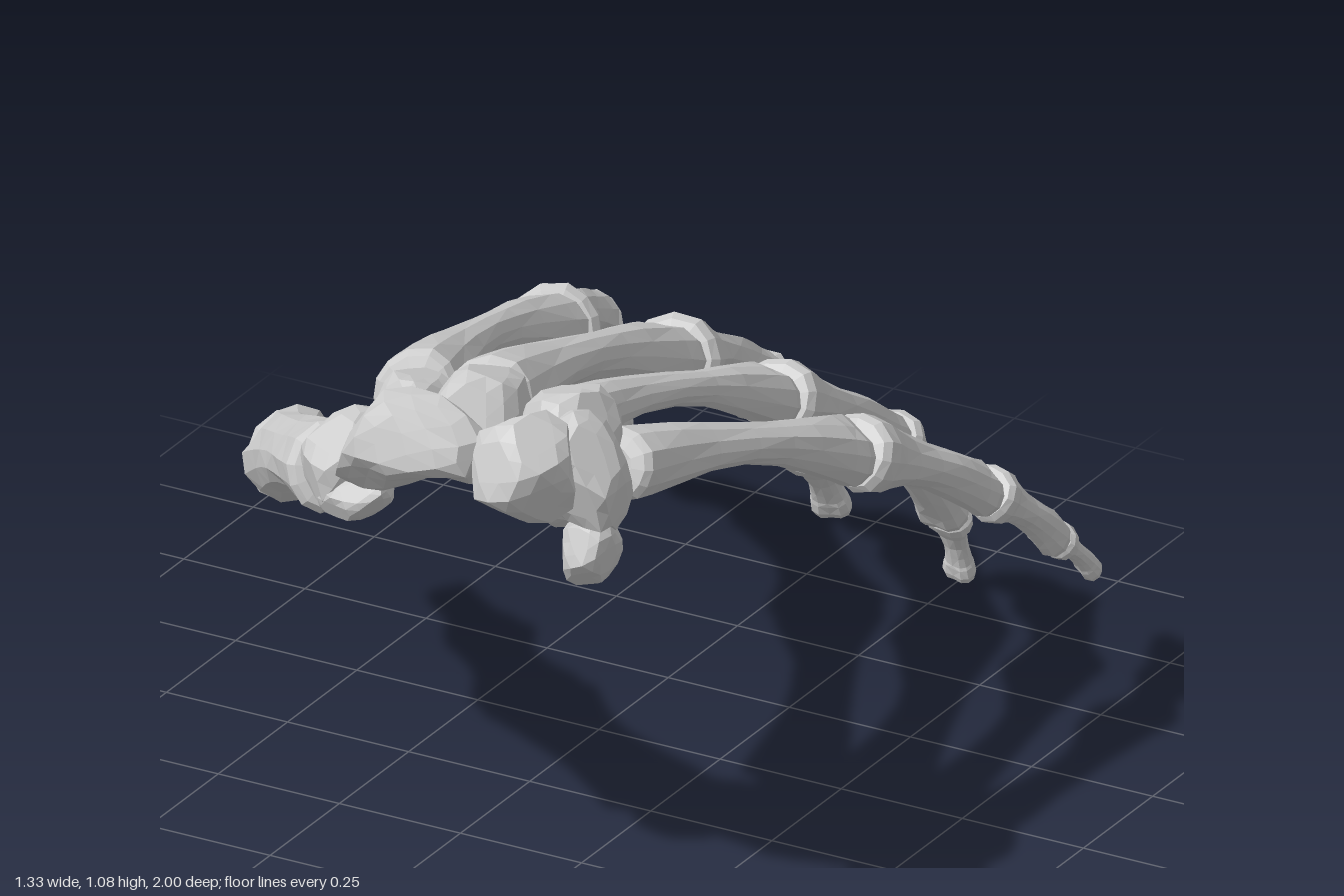
import * as THREE from 'three';

const SIDES = 12;
const V = (a) => new THREE.Vector3(...a);
const material = new THREE.MeshStandardMaterial({ color: 0xcccccc, flatShading: true });

// Long bone: lofted rings along a slightly bowed line, flared at the base and knuckled at the head.
function longBone(name, from, to, up, [base, shaft, head], { flat, bow, reach }) {
  const a = V(from), b = V(to), d = b.clone().sub(a).normalize();
  b.addScaledVector(d, reach);
  const length = a.distanceTo(b);
  const s = V(up).cross(d).normalize();
  const u = d.clone().cross(s);
  const baseEnd = 0.25 * base / length, headEnd = 0.5 * head / length;
  const mix = (k) => base * k + shaft * (1 - k);
  // [position along the bone, half width, knuckle amount]
  const rings = [
    [0, base * 0.5, 0], [baseEnd * 0.3, base * 0.87, 0], [baseEnd, base, 0], [baseEnd * 2 + 0.03, base * 0.95, 0],
    [0.2, mix(0.55), 0], [0.33, mix(0.18), 0], [0.5, shaft, 0], [0.64, shaft * 1.05, 0],
    [0.75, shaft * 0.6 + head * 0.4, 0.2], [1 - headEnd * 2.2, head * 0.93, 0.6], [1 - headEnd * 1.2, head, 1],
    [1 - headEnd * 0.5, head * 0.9, 1], [1 - headEnd * 0.15, head * 0.65, 0.7], [1, head * 0.3, 0],
  ];
  const pos = [], index = [];
  const centre = (t) => a.clone().addScaledVector(d, t * length)
    .addScaledVector(u, Math.sin(Math.PI * t) * bow * length);
  for (const [t, w, knuckle] of rings) {
    const c = centre(t);
    for (let j = 0; j < SIDES; j++) {
      const ang = (j / SIDES) * Math.PI * 2, cs = Math.cos(ang), sn = Math.sin(ang);
      const groove = 1 - 0.22 * knuckle * Math.pow(Math.abs(sn), 8);
      const palm = sn < 0 ? 0.9 + 0.2 * knuckle : 1;
      // faint ridges wander round the bone so its facets are irregular
      const r = w * (1 + 0.045 * Math.sin(3 * ang + 9 * t + 40 * shaft));
      const p = c.clone().addScaledVector(s, r * Math.sign(cs) * Math.pow(Math.abs(cs), 0.88))
        .addScaledVector(u, r * flat * sn * groove * palm);
      pos.push(p.x, p.y, p.z);
    }
  }
  const n = rings.length;
  for (let i = 0; i < n - 1; i++) {
    for (let j = 0; j < SIDES; j++) {
      const k = (j + 1) % SIDES, p = i * SIDES, q = p + SIDES;
      if ((i + j) % 2) index.push(p + j, p + k, q + k, p + j, q + k, q + j);
      else index.push(p + j, p + k, q + j, p + k, q + k, q + j);
    }
  }
  // end caps
  pos.push(...centre(baseEnd * 0.3).toArray(), ...centre(1).toArray());
  for (let j = 0; j < SIDES; j++) {
    const k = (j + 1) % SIDES, last = (n - 1) * SIDES;
    index.push(n * SIDES, k, j, n * SIDES + 1, last + j, last + k);
  }
  const geometry = new THREE.BufferGeometry();
  geometry.setAttribute('position', new THREE.Float32BufferAttribute(pos, 3));
  geometry.setIndex(index);
  geometry.computeVertexNormals();
  const mesh = new THREE.Mesh(geometry, material);
  mesh.name = name;
  return mesh;
}

// Wrist bone: a pebble pared by flat joint faces; bend curls its two x ends downward.
function pebble(name, centre, radii, rotation, bend, seed) {
  const geometry = new THREE.IcosahedronGeometry(1, 2);
  const p = geometry.attributes.position, v = new THREE.Vector3();
  const cuts = [];
  for (let i = 0; i < 9; i++) {
    const y = 1 - (2 * i + 1) / 9, r = Math.sqrt(1 - y * y), ang = i * 2.4 + seed;
    cuts.push(new THREE.Vector3(r * Math.cos(ang), y, r * Math.sin(ang)));
  }
  for (let i = 0; i < p.count; i++) {
    v.fromBufferAttribute(p, i);
    v.multiplyScalar(1.08 + 0.06 * Math.sin(4 * v.x + seed) * Math.cos(3 * v.y - seed) + 0.04 * Math.sin(5 * v.z + 2 * seed));
    for (const cut of cuts) {
      const over = v.dot(cut) - 0.87;
      if (over > 0) v.addScaledVector(cut, -over);
    }
    p.setXYZ(i, v.x * radii[0] * 1.05, v.y * radii[1] * 1.05 - bend * v.x * v.x, v.z * radii[2] * 1.05);
  }
  geometry.computeVertexNormals();
  const mesh = new THREE.Mesh(geometry, material);
  mesh.name = name;
  mesh.position.set(...centre);
  mesh.rotation.set(...rotation);
  return mesh;
}

// Each ray: joints from wrist to tip, back-of-hand direction, [base, shaft, head] half widths per bone.
const RAYS = [
  { name: 'thumb', up: [-0.7, 0.6, 0.3],
    joints: [[-0.1, 0.825, 0.78], [-0.43, 0.605, 0.37], [-0.55, 0.415, 0.04], [-0.65, 0.295, -0.165]],
    widths: [[0.088, 0.066, 0.09], [0.085, 0.052, 0.068], [0.06, 0.036, 0.036]] },
  { name: 'index', up: [-0.35, 1, 0],
    joints: [[0.0, 0.95, 0.665], [-0.18, 0.7, -0.14], [-0.355, 0.5, -0.57], [-0.44, 0.28, -0.765], [-0.47, 0.125, -0.885]],
    widths: [[0.082, 0.046, 0.082], [0.09, 0.052, 0.066], [0.07, 0.042, 0.048], [0.052, 0.027, 0.036]] },
  { name: 'middle', up: [-0.1, 1, 0],
    joints: [[0.145, 0.965, 0.665], [0.07, 0.705, -0.13], [-0.03, 0.445, -0.605], [-0.065, 0.18, -0.875], [-0.08, 0.015, -0.99]],
    widths: [[0.088, 0.05, 0.082], [0.092, 0.058, 0.07], [0.072, 0.047, 0.052], [0.056, 0.029, 0.038]] },
  { name: 'ring', up: [0.1, 1, 0],
    joints: [[0.28, 0.95, 0.645], [0.3, 0.695, -0.1], [0.28, 0.43, -0.54], [0.27, 0.18, -0.78], [0.265, 0.025, -0.845]],
    widths: [[0.062, 0.036, 0.07], [0.082, 0.048, 0.062], [0.07, 0.044, 0.05], [0.05, 0.025, 0.033]] },
  { name: 'little', up: [0.4, 1, 0],
    joints: [[0.405, 0.895, 0.65], [0.52, 0.68, 0.0], [0.582, 0.465, -0.37], [0.61, 0.3, -0.57], [0.62, 0.185, -0.695]],
    widths: [[0.074, 0.042, 0.07], [0.08, 0.046, 0.055], [0.06, 0.036, 0.046], [0.046, 0.024, 0.032]] },
];

export function createModel() {
  const hand = new THREE.Group();
  hand.name = 'handSkeleton';

  // Metacarpals and phalanges
  for (const { name, up, joints, widths } of RAYS) {
    const ray = new THREE.Group();
    ray.name = name + (name === 'thumb' ? '' : 'Finger');
    const labels = name === 'thumb' ? ['Metacarpal', 'Proximal', 'Distal']
      : ['Metacarpal', 'Proximal', 'Middle', 'Distal'];
    labels.forEach((label, i) => {
      const tip = label === 'Distal';
      ray.add(longBone(name + label, joints[i], joints[i + 1], up, widths[i], {
        flat: tip ? 0.75 : 0.88,
        bow: label === 'Metacarpal' ? 0.045 : 0.03,
        reach: tip ? 0 : 0.012,
      }));
    });
    hand.add(ray);
  }

  // Wrist bones
  const wrist = new THREE.Group();
  wrist.name = 'wrist';
  wrist.add(
    pebble('scaphoid', [0.125, 0.99, 0.9], [0.155, 0.08, 0.095], [0, -0.15, 0.32], 0.05, 0.4),
    pebble('lunate', [0.355, 0.975, 0.89], [0.095, 0.098, 0.088], [0, 0.3, -0.3], 0, 1.3),
    pebble('triquetrum', [0.425, 0.94, 0.785], [0.068, 0.11, 0.088], [0, 0.2, 0.35], 0, 2.2),
    pebble('pisiform', [0.44, 0.8, 0.8], [0.05, 0.068, 0.063], [0, 0, -0.2], 0, 3.1),
    pebble('hamate', [0.345, 0.96, 0.71], [0.088, 0.095, 0.105], [0.15, 0, -0.1], 0, 4.0),
    pebble('hamateHook', [0.32, 0.86, 0.71], [0.035, 0.085, 0.055], [0.2, 0, 0.15], 0, 0.8),
    pebble('capitate', [0.18, 0.965, 0.74], [0.085, 0.098, 0.115], [0.1, 0, 0], 0, 4.9),
    pebble('trapezoid', [0.045, 0.935, 0.72], [0.068, 0.085, 0.09], [0, 0.2, 0.4], 0, 5.8),
    pebble('trapezium', [-0.05, 0.865, 0.8], [0.095, 0.078, 0.09], [0, 0.5, 0.5], 0, 1.9),
    pebble('trapeziumRidge', [-0.005, 0.825, 0.86], [0.07, 0.04, 0.05], [0, 0, 0.4], 0, 2.7),
  );
  hand.add(wrist);
  return hand;
}
